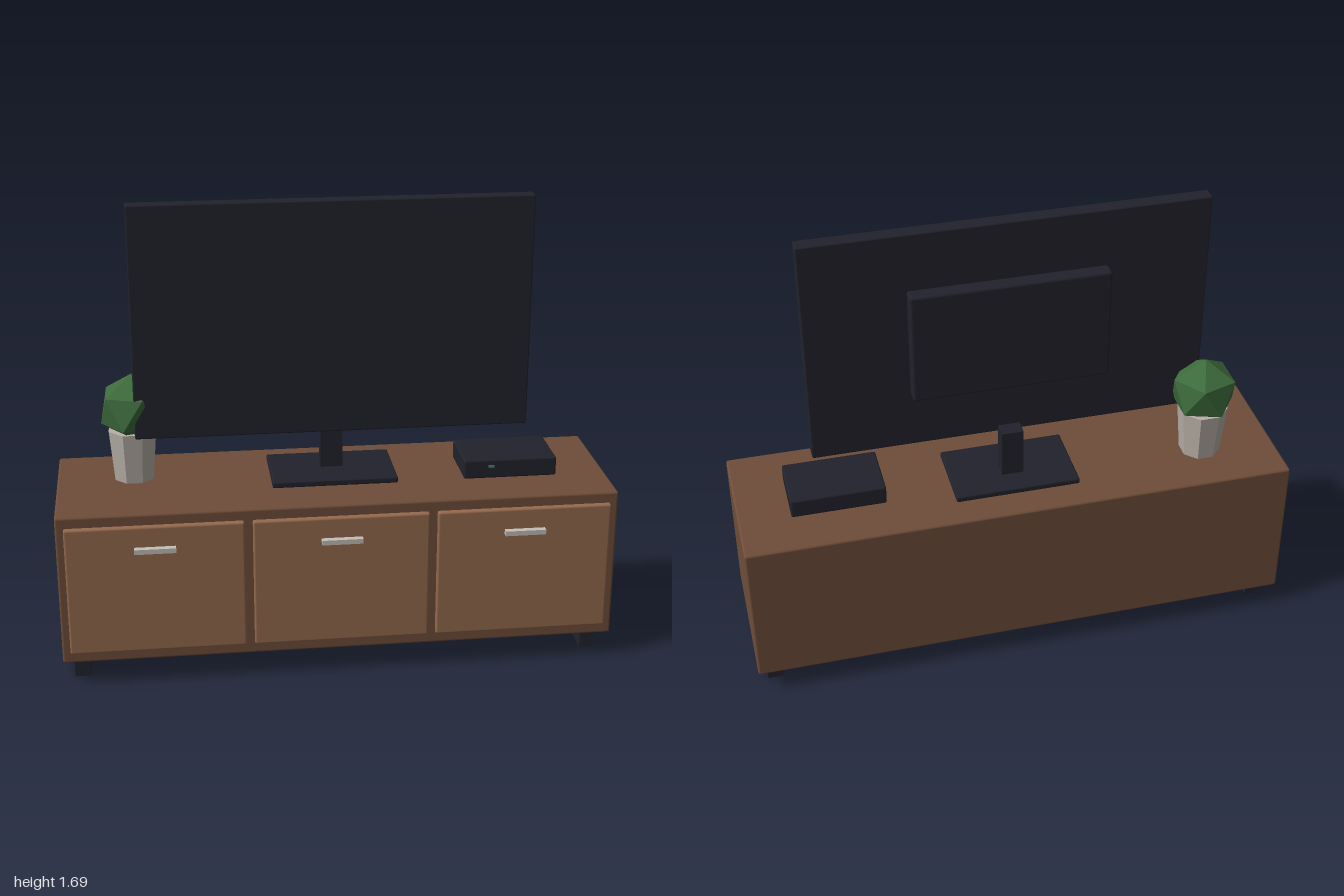
import * as THREE from 'three';
import { RoundedBoxGeometry } from 'three/addons/geometries/RoundedBoxGeometry.js';

const mat = (name, color, flatShading = false) => {
  const m = new THREE.MeshStandardMaterial({ color, flatShading });
  m.name = name;
  return m;
};

export function createModel() {
  const group = new THREE.Group();
  const wood = mat('dark wood', 0x6f4d39);
  const doorWood = mat('door wood', 0x966a4e);
  const black = mat('black plastic', 0x22222c);
  const metal = mat('handle metal', 0xc4c0b8);
  const ceramic = mat('pot ceramic', 0xb8b0a8, true);
  const leaf = mat('leaf green', 0x3d6b3c, true);
  const light = mat('indicator green', 0x3f7a5a);

  const add = (name, geometry, material, x, y, z) => {
    const mesh = new THREE.Mesh(geometry, material);
    mesh.name = name;
    mesh.position.set(x, y, z);
    group.add(mesh);
    return mesh;
  };

  // Box given by its limits on each axis, with optional softened edges
  const box = (name, material, [x0, x1], [y0, y1], [z0, z1], bevel = 0) => {
    const size = [x1 - x0, y1 - y0, z1 - z0];
    const geometry = bevel
      ? new RoundedBoxGeometry(...size, 2, bevel)
      : new THREE.BoxGeometry(...size);
    return add(name, geometry, material, (x0 + x1) / 2, (y0 + y1) / 2, (z0 + z1) / 2);
  };

  // Cabinet on two runner feet
  box('cabinet', wood, [-1, 1], [0.09, 0.655], [-0.3, 0.265], 0.009);
  for (const s of [-1, 1]) {
    box('foot', black, [s * 0.935 - 0.028, s * 0.935 + 0.028], [0, 0.092], [-0.23, 0.2]);
  }

  // Three doors with bar handles
  for (const x of [-0.657, 0, 0.657]) {
    box('door', doorWood, [x - 0.314, x + 0.314], [0.133, 0.615], [0.255, 0.283], 0.008);
    box('handle', metal, [x - 0.073, x + 0.073], [0.521, 0.539], [0.282, 0.305]);
  }

  // Television with rear housing, neck and base plate
  box('screen', black, [-0.712, 0.712], [0.835, 1.685], [-0.043, 0.011], 0.006);
  box('rearHousing', black, [-0.352, 0.352], [1.05, 1.47], [-0.093, -0.03], 0.01);
  box('neck', black, [-0.04, 0.04], [0.665, 0.86], [-0.1, -0.04]);
  box('basePlate', black, [-0.228, 0.228], [0.655, 0.678], [-0.19, 0.09], 0.006);

  // Set-top box with indicator
  box('mediaBox', black, [0.47, 0.812], [0.657, 0.728], [-0.132, 0.09], 0.007);
  box('indicator', light, [0.56, 0.58], [0.7, 0.709], [0.088, 0.097]);

  // Faceted plant in a tapered pot
  const pot = add('pot', new THREE.CylinderGeometry(0.092, 0.075, 0.19, 8), ceramic, -0.72, 0.75, -0.088);
  pot.rotation.y = Math.PI / 8;
  const foliage = add('foliage', new THREE.IcosahedronGeometry(0.128, 0), leaf, -0.717, 0.923, -0.09);
  foliage.rotation.z = -0.5536; // stands on a corner

  return group;
}
